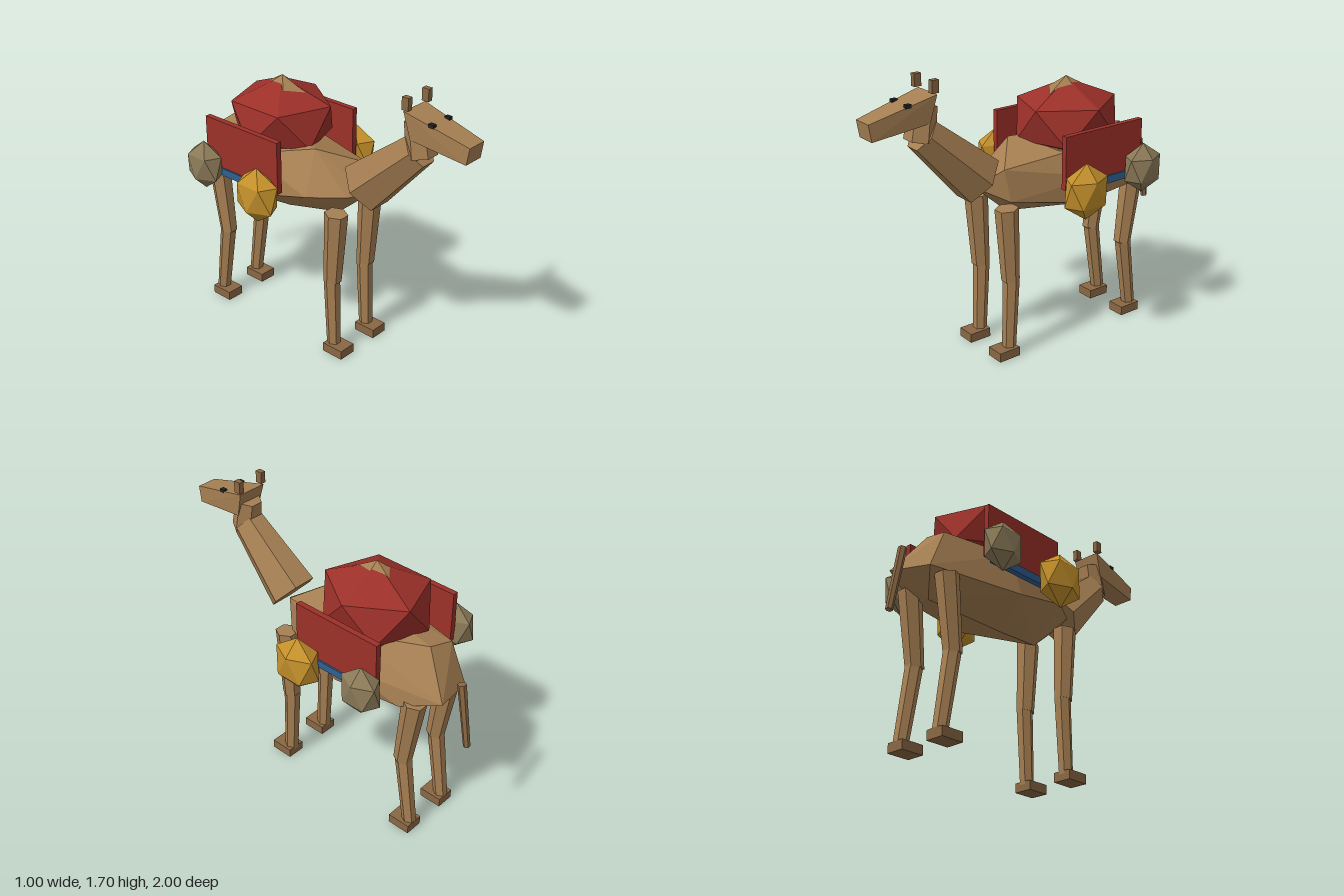
import * as THREE from 'three';
import { ConvexGeometry } from 'three/addons/geometries/ConvexGeometry.js';

const mat = (color) => new THREE.MeshStandardMaterial({ color, flatShading: true });
const V = (x, y, z) => new THREE.Vector3(x, y, z);

export function createModel() {
  const model = new THREE.Group();
  const tan = mat(0xa67f52), brown = mat(0x8a6743), red = mat(0x9c3029);
  const gold = mat(0xc4902b), khaki = mat(0x8b7a58), blue = mat(0x2f5f92), dark = mat(0x222222);

  const add = (name, geometry, material) => {
    const mesh = new THREE.Mesh(geometry, material);
    mesh.name = name;
    model.add(mesh);
    return mesh;
  };
  const box = (name, material, size, pos) =>
    add(name, new THREE.BoxGeometry(...size), material).position.set(...pos);
  const hull = (name, material, points) =>
    add(name, new ConvexGeometry(points.map((p) => V(...p))), material);

  // Twenty-sided lump standing on a corner, upper ring pointing to +x
  const lump = (name, material, [cx, cy, cz], [rx, ry, rz]) => {
    const points = [[cx, cy + ry, cz], [cx, cy - ry, cz]];
    for (let i = 0; i < 10; i++) {
      const a = (i * Math.PI) / 5, side = i % 2 ? -1 : 1;
      points.push([cx + 0.894 * rx * Math.cos(a), cy + 0.447 * ry * side, cz + 0.894 * rz * Math.sin(a)]);
    }
    hull(name, material, points);
  };

  // Six-sided tapered limb from a to b, flat side to the front
  const limb = (name, material, a, b, ra, rb, widthScale = 1) => {
    const from = V(...a), to = V(...b), dir = to.clone().sub(from);
    const geometry = new THREE.CylinderGeometry(rb, ra, dir.length(), 6, 1, false, Math.PI / 6);
    const mesh = add(name, geometry, material);
    mesh.scale.x = widthScale;
    mesh.position.copy(from).add(to).multiplyScalar(0.5);
    mesh.quaternion.setFromUnitVectors(V(0, 1, 0), dir.normalize());
  };

  // Faceted body, slightly irregular
  hull('body', tan, [
    [0.125, 0.97, -0.89], [-0.14, 0.93, -0.84], [0.03, 1.21, -0.72], [-0.13, 1.17, -0.74],
    [0, 0.82, -0.72], [0.2, 0.88, -0.66], [0.28, 1.02, -0.32], [-0.28, 0.91, -0.3],
    [-0.25, 1.14, -0.35], [0.2, 1.18, -0.3], [-0.1, 1.23, 0.02], [-0.06, 0.78, -0.22],
    [0.25, 0.87, -0.25], [0, 0.83, 0.11], [-0.24, 1.0, 0.07], [0.12, 1.13, 0.21],
    [0.14, 0.94, 0.18], [0, 1.02, 0.33], [-0.12, 1.02, 0.27],
  ]);

  // Hump and the cloth over it
  lump('hump', tan, [0, 1.28, -0.32], [0.22, 0.27, 0.31]);
  lump('saddleCloth', red, [0, 1.305, -0.325], [0.312, 0.23, 0.345]);

  // Neck, throat and head
  limb('neck', tan, [0, 1.07, 0.305], [0, 1.395, 0.655], 0.16, 0.105, 0.88);
  limb('throat', tan, [0, 1.365, 0.67], [0, 1.55, 0.64], 0.085, 0.075);
  const head = [];
  for (const s of [-1, 1]) {
    head.push([s * 0.09, 1.62, 0.61], [s * 0.08, 1.47, 0.65], [s * 0.06, 1.525, 1], [s * 0.062, 1.43, 0.985]);
  }
  hull('head', tan, head);

  // Tail
  limb('tail', brown, [0, 1.05, -0.913], [0, 0.665, -0.98], 0.025, 0.02);

  for (const s of [-1, 1]) {
    const x = s * 0.145;
    box('ear', brown, [0.032, 0.07, 0.042], [s * 0.083, 1.665, 0.625]);
    box('eye', dark, [0.026, 0.02, 0.032], [s * 0.067, 1.582, 0.775]);

    // Legs with hooves
    limb('frontUpperLeg', tan, [x, 0.915, 0.215], [x, 0.475, 0.19], 0.07, 0.054, 0.92);
    limb('frontLowerLeg', tan, [x, 0.485, 0.185], [x, 0.04, 0.203], 0.05, 0.042, 0.92);
    limb('hindUpperLeg', tan, [x, 0.915, -0.725], [x, 0.48, -0.667], 0.07, 0.054, 0.92);
    limb('hindLowerLeg', tan, [x, 0.485, -0.672], [x, 0.04, -0.737], 0.05, 0.042, 0.92);
    for (const z of [0.237, -0.703]) box('hoof', brown, [0.11, 0.055, 0.14], [x, 0.0275, z]);

    // Side panel, strap and hanging bags
    box('sidePanel', red, [0.034, 0.31, 0.56], [s * 0.314, 1.165, -0.33]);
    box('strap', blue, [0.035, 0.045, 0.46], [s * 0.322, 1.01, -0.34]);
    lump('frontBag', gold, [s * 0.41, 1.012, -0.13], [0.1, 0.165, 0.153]);
    lump('rearBag', khaki, [s * 0.395, 1.053, -0.565], [0.09, 0.147, 0.132]);
  }
  return model;
}
